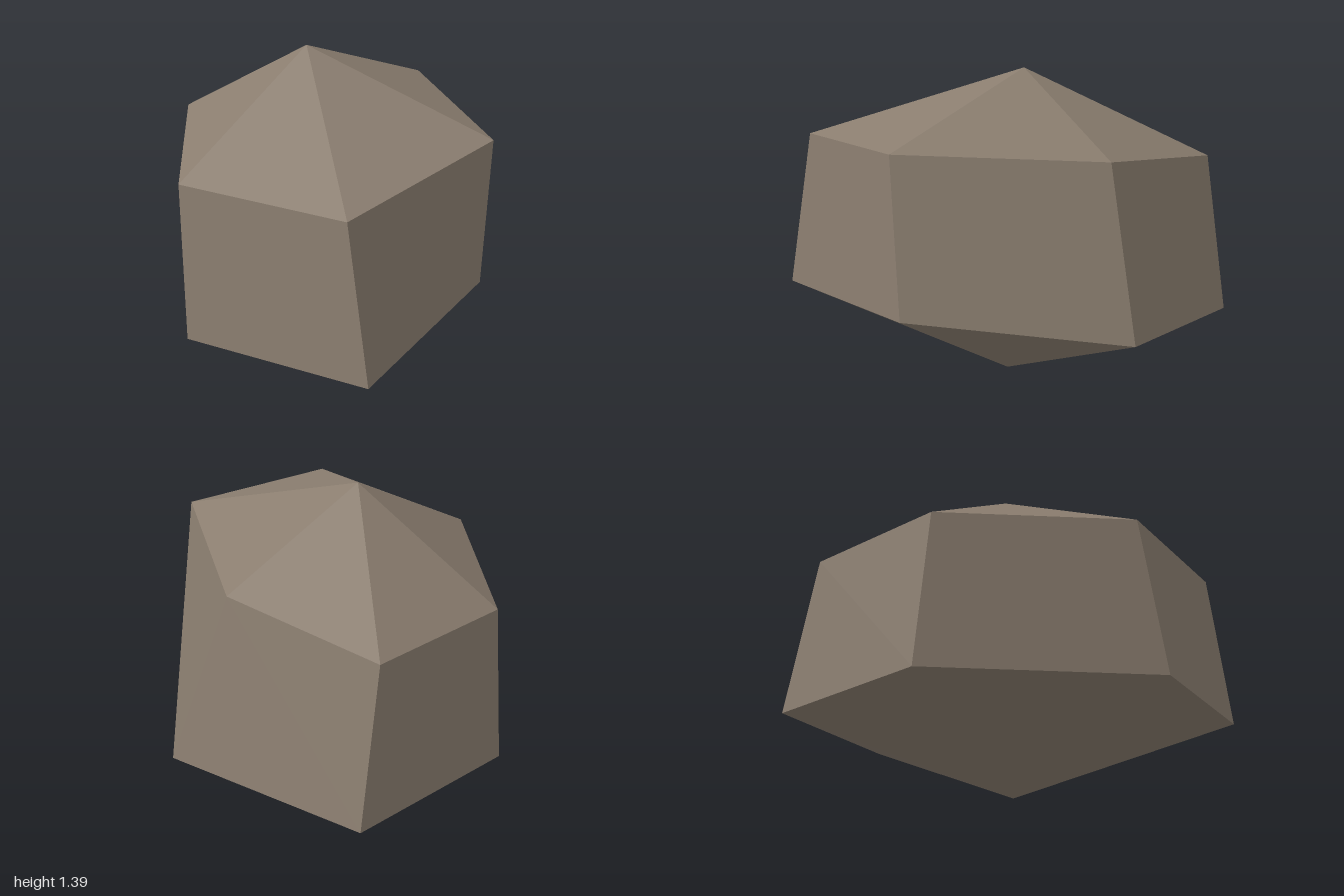
import * as THREE from 'three';

// Faceted boulder: two irregular six-sided rings closed by a peak and a foot.
const point = (x, y, z) => new THREE.Vector3(x, y, z);
const peak = point(-0.12, 1.395, -0.09);
const foot = point(0.013, 0, -0.005);
const upperRing = [
  point(-0.22, 1.09, 0.887), point(0.51, 1.138, 0.502), point(0.503, 1.09, -0.385),
  point(0.03, 1.01, -0.91), point(-0.588, 0.97, -0.555), point(-0.75, 1.003, 0.28),
];
const lowerRing = [
  point(-0.165, 0.397, 1), point(0.51, 0.43, 0.48), point(0.773, 0.402, -0.453),
  point(0.12, 0.308, -1), point(-0.63, 0.262, -0.615), point(-0.777, 0.302, 0.37),
];

export function createModel() {
  const stone = new THREE.MeshStandardMaterial({ color: 0x8a7d6f });
  stone.name = 'stone brown';

  const positions = [];
  const normals = [];

  // Adds a facet of three or four corners, evenly shaded with a single normal
  const facet = (a, b, c, d = a) => {
    const normal = c.clone().sub(a).cross(d.clone().sub(b)).normalize();
    const corners = d === a ? [a, b, c] : [a, b, c, a, c, d];
    for (const corner of corners) {
      positions.push(...corner.toArray());
      normals.push(...normal.toArray());
    }
  };

  for (let i = 0; i < 6; i++) {
    const j = (i + 1) % 6;
    facet(peak, upperRing[i], upperRing[j]); // sloping top
    facet(upperRing[i], lowerRing[i], lowerRing[j], upperRing[j]); // side wall
    facet(foot, lowerRing[j], lowerRing[i]); // tapering underside
  }

  const geometry = new THREE.BufferGeometry();
  geometry.setAttribute('position', new THREE.Float32BufferAttribute(positions, 3));
  geometry.setAttribute('normal', new THREE.Float32BufferAttribute(normals, 3));

  const boulder = new THREE.Mesh(geometry, stone);
  boulder.name = 'boulder';
  const group = new THREE.Group();
  group.name = 'rock';
  group.add(boulder);
  return group;
}
